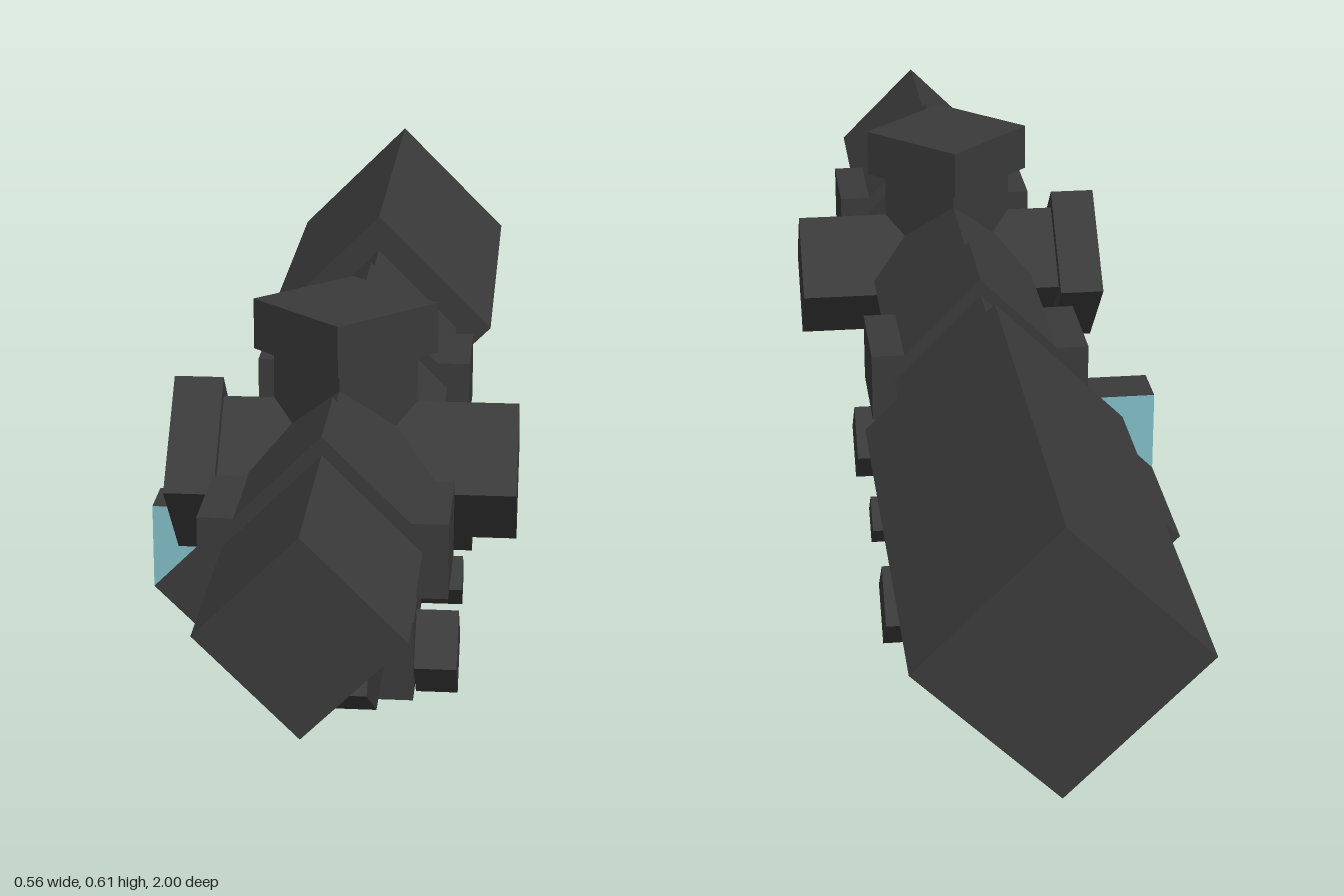
import * as THREE from 'three';

export function createModel() {
  const group = new THREE.Group();
  const dark = new THREE.MeshStandardMaterial({ color: 0x3a3a3a });
  dark.name = 'charcoal';
  const teal = new THREE.MeshStandardMaterial({ color: 0x80bcc6 });
  teal.name = 'lens teal';

  const add = (name, geometry, material = dark) => {
    const mesh = new THREE.Mesh(geometry, material);
    mesh.name = name;
    group.add(mesh);
    return mesh;
  };

  // Box from its minimum and maximum corners
  const box = (name, a, b) => {
    const g = new THREE.BoxGeometry(b[0] - a[0], b[1] - a[1], b[2] - a[2]);
    g.translate((a[0] + b[0]) / 2, (a[1] + b[1]) / 2, (a[2] + b[2]) / 2);
    return add(name, g);
  };

  // Four-sided bar with corners up, down and sideways, running along one axis
  const diamond = (name, axis, r, from, to, x, y, z) => {
    let g = new THREE.CylinderGeometry(r, r, to - from, 4).toNonIndexed();
    g.computeVertexNormals();
    const mid = (from + to) / 2;
    if (axis === 'x') g.rotateZ(-Math.PI / 2).translate(mid, y, z);
    else if (axis === 'y') g.translate(x, mid, z);
    else g.rotateX(Math.PI / 2).translate(x, y, mid);
    return add(name, g);
  };

  const outline = (points) => new THREE.Shape(points.map(([a, b]) => new THREE.Vector2(a, b)));
  const extrude = (points, depth) =>
    new THREE.ExtrudeGeometry(outline(points), { depth, bevelEnabled: false });

  const cx = 0.031, cy = 0.38, turretZ = 0.343;

  // Main tube and wide objective bell
  diamond('scopeTube', 'z', 0.13, -0.32, 1, cx, cy);
  diamond('objectiveBell', 'z', 0.187, -1, -0.31, cx, cy);

  // Clamping rings with side flanges
  for (const [z0, z1] of [[0.55, 0.71], [-0.14, 0.02]]) {
    diamond('mountRing', 'z', 0.155, z0, z1, cx, cy);
    box('ringFlange', [-0.132, 0.317, z0], [0.195, 0.42, z1]);
  }

  // Adjustment turrets
  diamond('topTurretStem', 'y', 0.102, 0.38, 0.537, cx, 0, turretZ);
  diamond('topTurretCap', 'y', 0.13, 0.537, 0.61, cx, 0, turretZ);
  diamond('sideTurretStem', 'x', 0.102, -0.143, 0.277, 0, 0.363, turretZ);
  diamond('sideTurretCap', 'x', 0.13, -0.213, -0.143, 0, 0.363, turretZ);

  // Cantilever mount: profile in z and y, extruded across x
  const mount = extrude([
    [0.743, 0.19], [0.56, 0.085], [-0.18, 0.085], [-0.18, 0.16], [-0.15, 0.16],
    [-0.14, 0.315], [0.015, 0.315], [0.07, 0.16], [0.52, 0.16], [0.44, 0.315], [0.6, 0.315],
  ], 0.122);
  mount.rotateY(-Math.PI / 2).translate(0.092, 0, 0);
  add('mountBracket', mount);

  // Rail clamps with cross bolts
  for (const z of [0.31, -0.263]) {
    box('railClamp', [-0.07, 0.022, z - 0.08], [0.133, 0.144, z + 0.08]);
    diamond('clampBolt', 'x', 0.066, 0.133, 0.195, 0, 0.066, z);
  }

  // Offset sight base and its bolt
  box('sightBase', [-0.203, 0.022, -0.1], [0.125, 0.103, 0.145]);
  diamond('sightBolt', 'x', 0.041, 0.125, 0.19, 0, 0.063, 0.025);

  // Canted sight body
  const body = extrude([[-0.148, 0.228], [-0.279, 0.097], [-0.203, 0.022], [-0.072, 0.153]], 0.325);
  add('cantedSightBody', body.translate(0, 0, -0.155));

  // Sight hood, with lens faces on both ends
  const hood = extrude([[-0.279, 0.097], [-0.148, 0.228], [-0.279, 0.228]], 0.08);
  add('sightHoodAndLens', hood.translate(0, 0, 0.09), [teal, dark]);

  return group;
}
